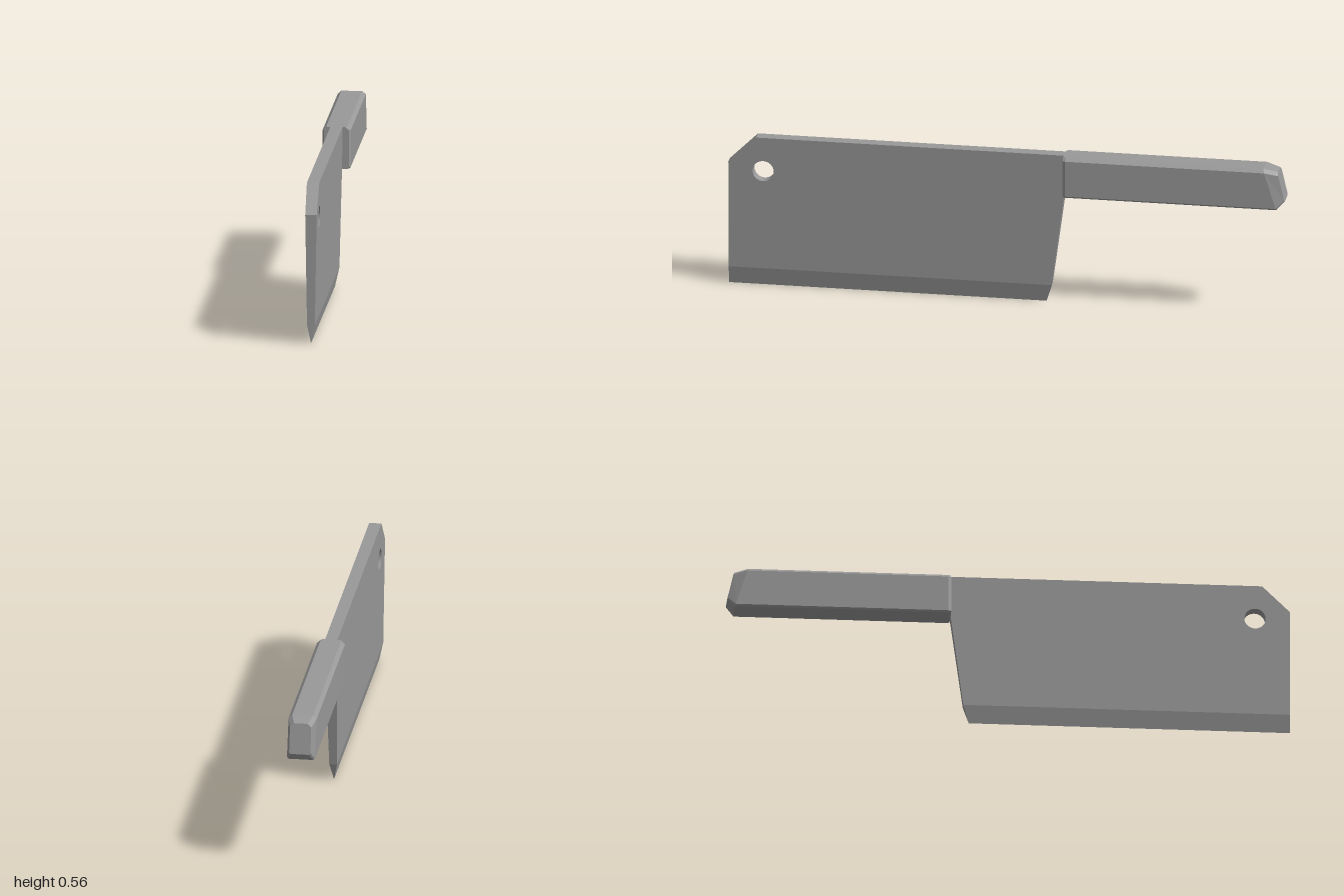
import * as THREE from 'three';

const BEVEL_Y = 0.065; // height where the cutting bevel begins

// Half thickness of the blade at a given height
function halfThickness(y) {
  return y <= BEVEL_Y ? 0.014 * y / BEVEL_Y : 0.014 + 0.008 * (y - BEVEL_Y) / (0.56 - BEVEL_Y);
}

// Side outline in (z, y), extruded across x and tapered by height
function bladeGeometry(points, hole) {
  const shape = new THREE.Shape(points.map(([z, y]) => new THREE.Vector2(z, y)));
  if (hole) shape.holes.push(hole);
  const geo = new THREE.ExtrudeGeometry(shape, { depth: 2, bevelEnabled: false, curveSegments: 32 });
  geo.rotateY(-Math.PI / 2).translate(1, 0, 0);
  const p = geo.attributes.position;
  for (let i = 0; i < p.count; i++) p.setX(i, p.getX(i) * halfThickness(p.getY(i)));
  // Drop the hidden seam and the collapsed faces on the cutting edge
  const kept = [];
  for (let i = 0; i < p.count; i += 3) {
    const ys = [0, 1, 2].map((k) => p.getY(i + k));
    const level = (h) => ys.every((y) => Math.abs(y - h) < 1e-5);
    if (level(BEVEL_Y) || level(0)) continue;
    for (let k = 0; k < 3; k++) kept.push(p.getX(i + k), p.getY(i + k), p.getZ(i + k));
  }
  return flatGeometry(kept);
}

function flatGeometry(positions) {
  const geo = new THREE.BufferGeometry();
  geo.setAttribute('position', new THREE.Float32BufferAttribute(positions, 3));
  geo.computeVertexNormals();
  return geo;
}

// Chamfered rectangular section, slanted between zTop and zBottom
function handleRing({ w, top, bottom, zTop, zBottom }) {
  const outline = [
    [w - 0.005, bottom], [w, bottom + 0.006], [w, top - 0.012], [w - 0.013, top],
    [-w + 0.013, top], [-w, top - 0.012], [-w, bottom + 0.006], [-w + 0.005, bottom],
  ];
  return outline.map(([x, y]) => [x, y, zBottom + (zTop - zBottom) * (y - bottom) / (top - bottom)]);
}

// Skin a series of sections and cap both ends
function loft(rings) {
  const out = [];
  const tri = (a, b, c) => out.push(...a, ...b, ...c);
  const n = rings[0].length;
  for (let r = 0; r < rings.length - 1; r++) {
    for (let i = 0; i < n; i++) {
      const j = (i + 1) % n;
      const a = rings[r][i], b = rings[r][j], c = rings[r + 1][j], d = rings[r + 1][i];
      tri(a, d, b);
      tri(b, d, c);
    }
  }
  const first = rings[0], last = rings[rings.length - 1];
  for (let i = 1; i < n - 1; i++) {
    tri(first[0], first[i], first[i + 1]);
    tri(last[0], last[i + 1], last[i]);
  }
  return flatGeometry(out);
}

export function createModel() {
  const group = new THREE.Group();
  group.name = 'cleaver';
  const grey = new THREE.MeshStandardMaterial({ color: 0x999999 });
  grey.name = 'grey';
  const add = (name, geo) => {
    const mesh = new THREE.Mesh(geo, grey);
    mesh.name = name;
    group.add(mesh);
  };

  // Blade with clipped nose corner and hanging hole
  const hole = new THREE.Path();
  hole.absarc(0.875, 0.434, 0.038, 0, Math.PI * 2, true);
  add('blade', bladeGeometry([
    [1, BEVEL_Y], [1, 0.462], [0.9, 0.56], [-0.206, 0.56], [-0.206, 0.41], [-0.16, BEVEL_Y],
  ], hole));

  // Sharpened bevel along the bottom
  add('cuttingEdge', bladeGeometry([[1, 0], [1, BEVEL_Y], [-0.16, BEVEL_Y], [-0.14, 0]]));

  // Handle with chamfered front rim and slanted butt
  add('handle', loft([
    { w: 0.045, top: 0.56, bottom: 0.41, zTop: -0.205, zBottom: -0.205 },
    { w: 0.05, top: 0.56, bottom: 0.41, zTop: -0.215, zBottom: -0.215 },
    { w: 0.05, top: 0.56, bottom: 0.41, zTop: -0.925, zBottom: -0.972 },
    { w: 0.038, top: 0.548, bottom: 0.44, zTop: -0.975, zBottom: -1 },
  ].map(handleRing)));

  return group;
}
